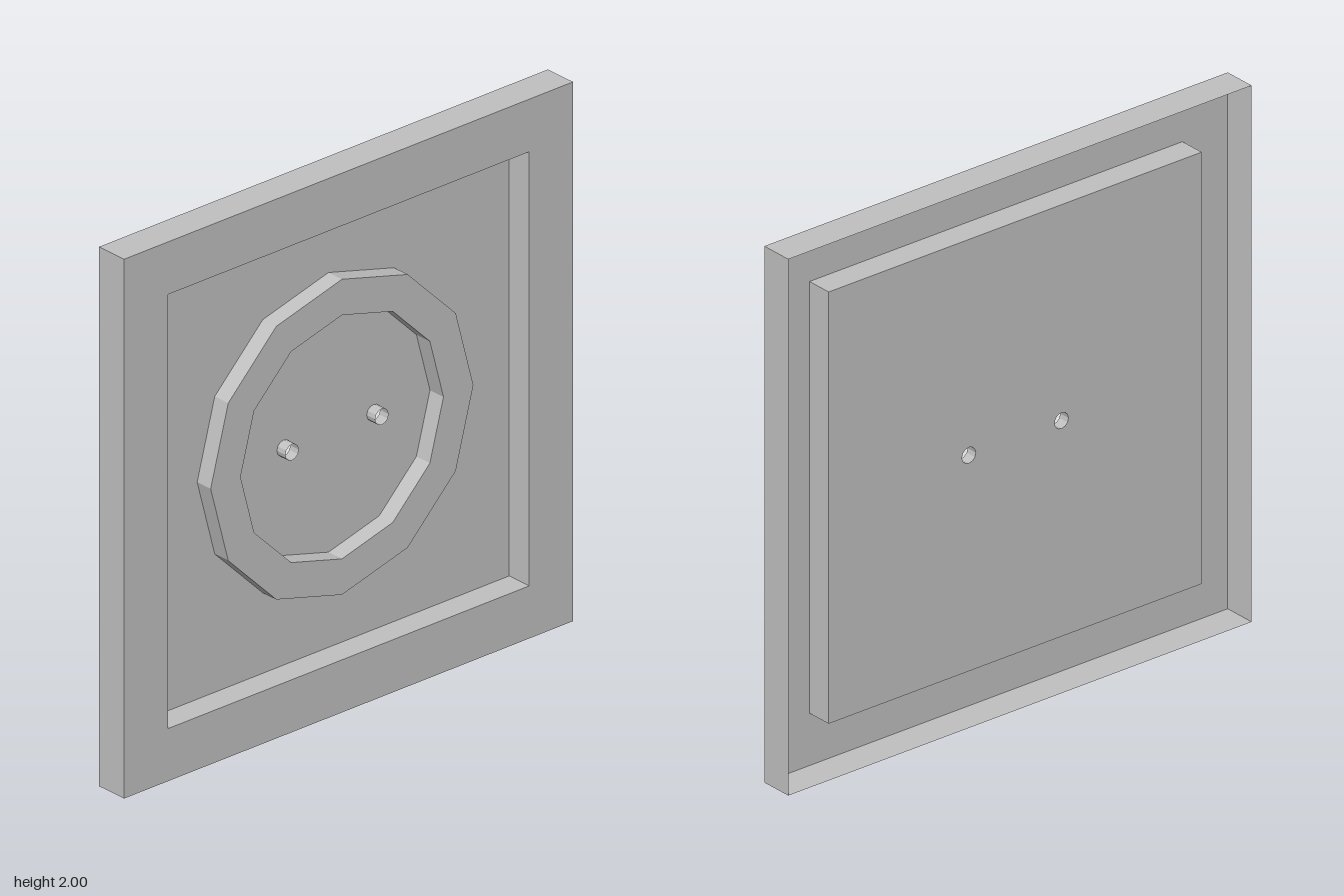
import * as THREE from 'three';

const FRONT = 0.0625, BACK = -0.0625; // depth of the outer rim
const PANEL = -0.0375, RING = 0.03, PIN = 0.005;

// Regular polygon corners around (cx, 0)
function corners(r, n, start = 0, cx = 0) {
  return Array.from({ length: n }, (_, i) => {
    const a = start + (i / n) * Math.PI * 2;
    return new THREE.Vector2(cx + r * Math.cos(a), r * Math.sin(a));
  });
}

const square = (half) => corners(half * Math.SQRT2, 4, Math.PI / 4);

// Flat sheet with cut-outs
function sheet(outline, holes, z) {
  const shape = new THREE.Shape(outline);
  holes.forEach((h) => shape.holes.push(new THREE.Path(h)));
  return new THREE.ShapeGeometry(shape).translate(0, 0, z);
}

// Thin polygonal wall running along z
function wall(r, n, z0, z1, start = 0) {
  return new THREE.CylinderGeometry(r, r, z1 - z0, n, 1, true, start)
    .rotateX(Math.PI / 2)
    .translate(0, 0, (z0 + z1) / 2);
}

const squareWall = (half, z0, z1) => wall(half * Math.SQRT2, 4, z0, z1, Math.PI / 4);

export function createModel() {
  const grey = new THREE.MeshStandardMaterial({ color: 0xc0c0c0, side: THREE.DoubleSide, flatShading: true });
  grey.name = 'grey';
  const group = new THREE.Group();
  group.name = 'wallSocket';

  const add = (name, geometry, x = 0) => {
    const mesh = new THREE.Mesh(geometry, grey);
    mesh.name = name;
    mesh.position.set(x, 1, 0);
    group.add(mesh);
  };

  // Hollow cover: front frame and its outer rim
  add('frame', sheet(square(1), [square(0.805)], FRONT));
  add('outerRim', squareWall(1, BACK, FRONT));

  // Sunken square panel with two pin holes
  add('recessWall', squareWall(0.805, PANEL, FRONT));
  add('panel', sheet(square(0.805), [-0.2, 0.2].map((x) => corners(0.03, 12, 0, x)), PANEL));

  // Raised twelve-sided ring
  add('ringFace', sheet(corners(0.585, 12), [corners(0.452, 12)], RING));
  add('ringOuterWall', wall(0.585, 12, PANEL, RING));
  add('ringInnerWall', wall(0.452, 12, PANEL, RING));

  // Pin sleeves
  for (const x of [-0.2, 0.2]) add('pinSleeve', wall(0.03, 12, PANEL, PIN), x);

  return group;
}
